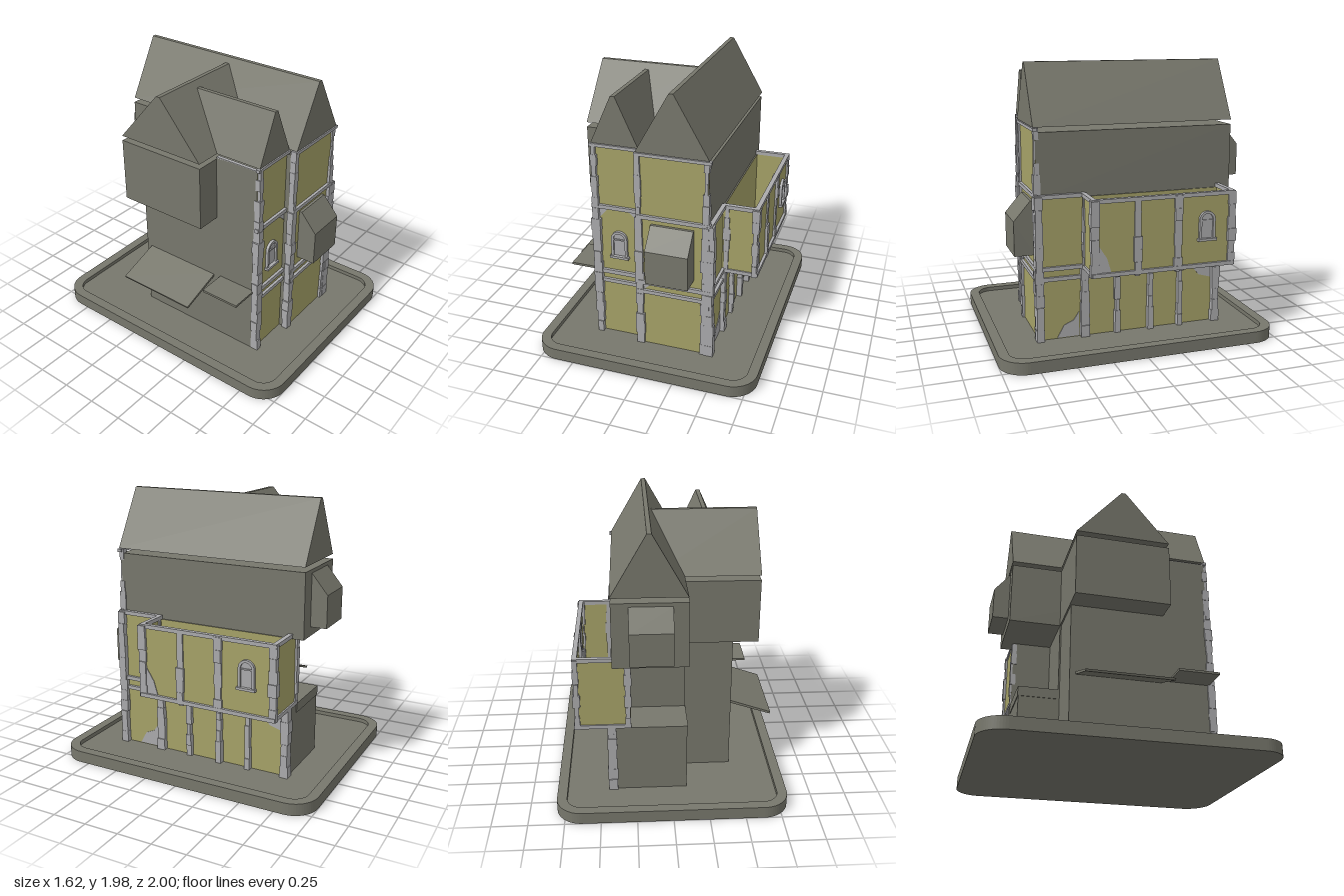
import * as THREE from 'three';

const mat = (name, color, side = THREE.FrontSide) => {
  const m = new THREE.MeshStandardMaterial({ color, side });
  m.name = name;
  return m;
};

export function createModel() {
  const house = new THREE.Group();
  house.name = 'timberHouse';
  const slate = mat('slateGrey', 0x77776c);
  const plaster = mat('ochrePlaster', 0xa6a268);
  const timber = mat('paleTimber', 0xababad);

  const add = (name, geo, material, parent = house) => {
    const m = new THREE.Mesh(geo, material);
    m.name = name;
    parent.add(m);
    return m;
  };
  // Box given by its limits on each axis
  const block = (name, x0, x1, y0, y1, z0, z1, material, parent) => {
    const g = new THREE.BoxGeometry(x1 - x0, y1 - y0, z1 - z0);
    g.translate((x0 + x1) / 2, (y0 + y1) / 2, (z0 + z1) / 2);
    return add(name, g, material, parent);
  };
  const shapeOf = pts => new THREE.Shape(pts.map(p => new THREE.Vector2(...p)));
  const extrude = (shape, depth) =>
    new THREE.ExtrudeGeometry(shape, { depth, bevelEnabled: false, curveSegments: 8 });
  // Profile in (x, y) running from z0 to z1
  const alongZ = (name, pts, z0, z1, material) =>
    add(name, extrude(shapeOf(pts), z1 - z0).translate(0, 0, z0), material);
  // Profile in (z, y) running from x0 to x1
  const alongX = (name, pts, x0, x1, material) =>
    add(name, extrude(shapeOf(pts), x1 - x0).rotateY(-Math.PI / 2).translate(x1, 0, 0), material);

  // Rounded base plate with a raised rim
  const roundRect = (w, d, r) => {
    const s = new THREE.Shape();
    s.moveTo(-w + r, -d);
    s.lineTo(w - r, -d).absarc(w - r, -d + r, r, -Math.PI / 2, 0);
    s.lineTo(w, d - r).absarc(w - r, d - r, r, 0, Math.PI / 2);
    s.lineTo(-w + r, d).absarc(-w + r, d - r, r, Math.PI / 2, Math.PI);
    s.lineTo(-w, -d + r).absarc(-w + r, -d + r, r, Math.PI, Math.PI * 1.5);
    return s;
  };
  add('baseFloor', extrude(roundRect(0.81, 1, 0.18), 0.055).rotateX(-Math.PI / 2), slate);
  const rim = roundRect(0.81, 1, 0.18);
  rim.holes.push(roundRect(0.74, 0.93, 0.11));
  add('baseRim', extrude(rim, 0.03).rotateX(-Math.PI / 2).translate(0, 0.055, 0), slate);

  // Walls: material order is +x, -x, +y, -y, +z, -z
  const S = slate, P = plaster;
  const frontAndRight = [P, S, S, S, P, S];
  const frontOnly = [S, S, S, S, P, S];
  block('groundFloorMain', -0.11, 0.41, 0.05, 0.56, -0.68, 0.67, frontAndRight);
  block('firstFloorMain', -0.11, 0.41, 0.56, 1.07, -0.4, 0.67, frontAndRight);
  block('firstFloorBackRoom', 0.28, 0.41, 0.56, 1.07, -0.68, -0.4, [P, S, S, S, S, P]);
  block('upperFloorMain', -0.11, 0.4, 1.065, 1.525, -0.77, 0.67, frontOnly);
  block('leftTower', -0.45, -0.11, 0.05, 1.065, -0.39, 0.61, frontOnly);
  block('upperFloorLeft', -0.45, -0.11, 1.065, 1.535, 0.28, 0.61, frontOnly);
  block('upperWing', -0.63, -0.11, 1.065, 1.525, -0.4, 0.28, slate);
  block('terraceSlab', -0.115, 0.28, 0.49, 0.56, -0.685, -0.4, slate);

  // Steep roofs with a narrow flat ridge
  const gable = (a, b, c, top) =>
    [[a, 1.56], [b, 1.56], [c + 0.015, top], [c - 0.015, top]];
  alongZ('mainRoof', gable(-0.105, 0.405, 0.147, 1.98), -0.77, 0.685, slate);
  alongZ('leftGableRoof', gable(-0.445, -0.105, -0.275, 1.9), -0.03, 0.625, slate);
  alongX('wingRoof', gable(-0.4, 0.28, -0.055, 1.94), -0.63, 0.14, slate);

  // Projecting window boxes with sloped tops
  alongX('frontWindowBox', [[0.66, 0.65], [0.81, 0.65], [0.81, 0.9], [0.69, 1.04], [0.66, 1.04]], -0.005, 0.3, slate);
  alongX('backWindowBox', [[-0.76, 1.13], [-0.76, 1.5], [-0.77, 1.5], [-0.885, 1.36], [-0.885, 1.13]], -0.005, 0.285, slate);

  // Canopies on the left side
  alongZ('slopedCanopy', [[-0.44, 0.55], [-0.44, 0.57], [-0.755, 0.46], [-0.75, 0.445]], -0.35, 0.25, slate);
  block('flatCanopy', -0.655, -0.44, 0.562, 0.578, 0.31, 0.6, slate);

  // Open-topped gallery
  block('galleryFloor', 0.41, 0.66, 0.56, 0.575, -0.68, 0.35, plaster);
  block('gallerySideWall', 0.645, 0.655, 0.575, 1.08, -0.68, 0.35, plaster);
  block('galleryFrontWall', 0.41, 0.655, 0.575, 1.08, 0.335, 0.345, plaster);
  block('galleryBackWall', 0.41, 0.655, 0.575, 1.08, -0.68, -0.67, plaster);

  // Uneven posts, stacked from blocks of varying width
  let seed = 7;
  const rand = () => (seed = (seed * 16807) % 2147483647) / 2147483647;
  const post = (x, z, y0, y1, w = 0.056, d = 0.05) => {
    const g = new THREE.Group();
    g.name = 'post';
    house.add(g);
    const n = Math.round((y1 - y0) / 0.085);
    for (let i = 0; i < n; i++) {
      const a = w / 2 + (rand() - 0.5) * 0.014, b = d / 2 + (rand() - 0.5) * 0.01;
      const h = (y1 - y0) / n;
      block('postBlock', x - a, x + a, y0 + i * h, y0 + (i + 1) * h, z - b, z + b, timber, g);
    }
  };
  // Front posts
  for (const [x, z] of [[-0.43, 0.615], [-0.095, 0.665], [0.385, 0.665]]) {
    post(x, z, 0.055, 0.56);
    post(x, z, 0.56, 1.08);
    post(x, z, 1.08, 1.555, 0.036, 0.04);
  }
  // Right side posts
  for (const z of [0.665, 0.34, 0.1, -0.15, -0.38, -0.665])
    post(0.415, z, 0.055, 0.56, 0.06, z > 0.3 || z < -0.6 ? 0.055 : 0.036);
  post(0.415, 0.665, 0.56, 1.09, 0.06, 0.055);
  for (const z of [0.335, 0.03, -0.265, -0.67]) post(0.65, z, 0.56, 1.09, 0.042, 0.055);
  post(0.44, 0.34, 0.56, 1.09, 0.04, 0.035);
  post(0.3, -0.675, 0.56, 1.06, 0.04, 0.035);

  // Horizontal beams: front, then right side
  for (const [y, h] of [[0.5, 0.028], [0.575, 0.03], [1.09, 0.028], [1.545, 0.022]]) {
    block('leftFrontBeam', -0.46, -0.1, y - h / 2, y + h / 2, 0.605, 0.63, timber);
    block('rightFrontBeam', -0.11, 0.42, y - h / 2, y + h / 2, 0.66, 0.69, timber);
  }
  block('towerTopBeam', -0.45, -0.425, 1.525, 1.54, 0.28, 0.62, timber);
  block('groundSideBeam', 0.4, 0.43, 0.486, 0.514, -0.69, 0.69, timber);
  for (const [y, out] of [[0.575, 0.675], [1.085, 0.668]]) {
    block('mainSideBeam', 0.4, 0.43, y - 0.014, y + 0.014, 0.33, 0.69, timber);
    block('gallerySideBeam', 0.635, out, y - 0.014, y + 0.014, -0.69, 0.355, timber);
    for (const z of [0.34, -0.675])
      block('galleryEndBeam', z > 0 ? 0.41 : 0.28, out, y - 0.014, y + 0.014, z - 0.016, z + 0.016, timber);
  }
  for (const z of [0.03, -0.265])
    block('galleryJoist', 0.41, 0.66, 0.545, 0.59, z - 0.016, z + 0.016, timber);
  block('galleryWallJoist', 0.4, 0.44, 0.55, 0.59, -0.68, 0.35, timber);

  // Exposed patches and corner braces
  const sidePatches = [
    [0.655, [[0.32, 0.8], [0.32, 0.59], [0.22, 0.59], [0.25, 0.69]]],
    [0.41, [[0.38, 0.24], [0.38, 0.06], [0.54, 0.06], [0.49, 0.15], [0.42, 0.18]]],
    [0.41, [[-0.48, 0.49], [-0.64, 0.49], [-0.64, 0.39], [-0.54, 0.42]]],
  ];
  for (const [x, pts] of sidePatches) alongX('wallPatch', pts, x - 0.004, x + 0.005, timber);
  alongZ('leftBrace', [[-0.41, 1.08], [-0.41, 1.0], [-0.34, 1.08]], 0.607, 0.615, timber);
  alongZ('rightBrace', [[-0.12, 1.08], [-0.2, 1.08], [-0.12, 1.01]], 0.607, 0.615, timber);
  alongZ('frontPatch', [[-0.07, 0.51], [-0.01, 0.56], [-0.07, 0.56]], 0.667, 0.675, timber);

  // Arched windows
  const arch = (w, h) => {
    const s = new THREE.Shape();
    s.moveTo(-w, 0);
    s.lineTo(w, 0).lineTo(w, h - w).absarc(0, h - w, w, 0, Math.PI);
    s.lineTo(-w, 0);
    return s;
  };
  const archedWindow = (x, y, z, turn) => {
    const g = new THREE.Group();
    g.name = 'archedWindow';
    const frame = arch(0.06, 0.2);
    frame.holes.push(arch(0.042, 0.182));
    add('windowFrame', extrude(frame, 0.02), timber, g);
    add('windowPane', extrude(arch(0.045, 0.185), 0.006), timber, g);
    block('transom', -0.045, 0.045, 0.128, 0.138, 0, 0.014, timber, g);
    block('sill', -0.07, 0.07, -0.012, 0.006, 0, 0.03, timber, g);
    g.position.set(x, y, z);
    g.rotation.y = turn;
    house.add(g);
  };
  archedWindow(-0.265, 0.71, 0.61, 0);
  archedWindow(0.655, 0.765, -0.48, Math.PI / 2);

  return house;
}
